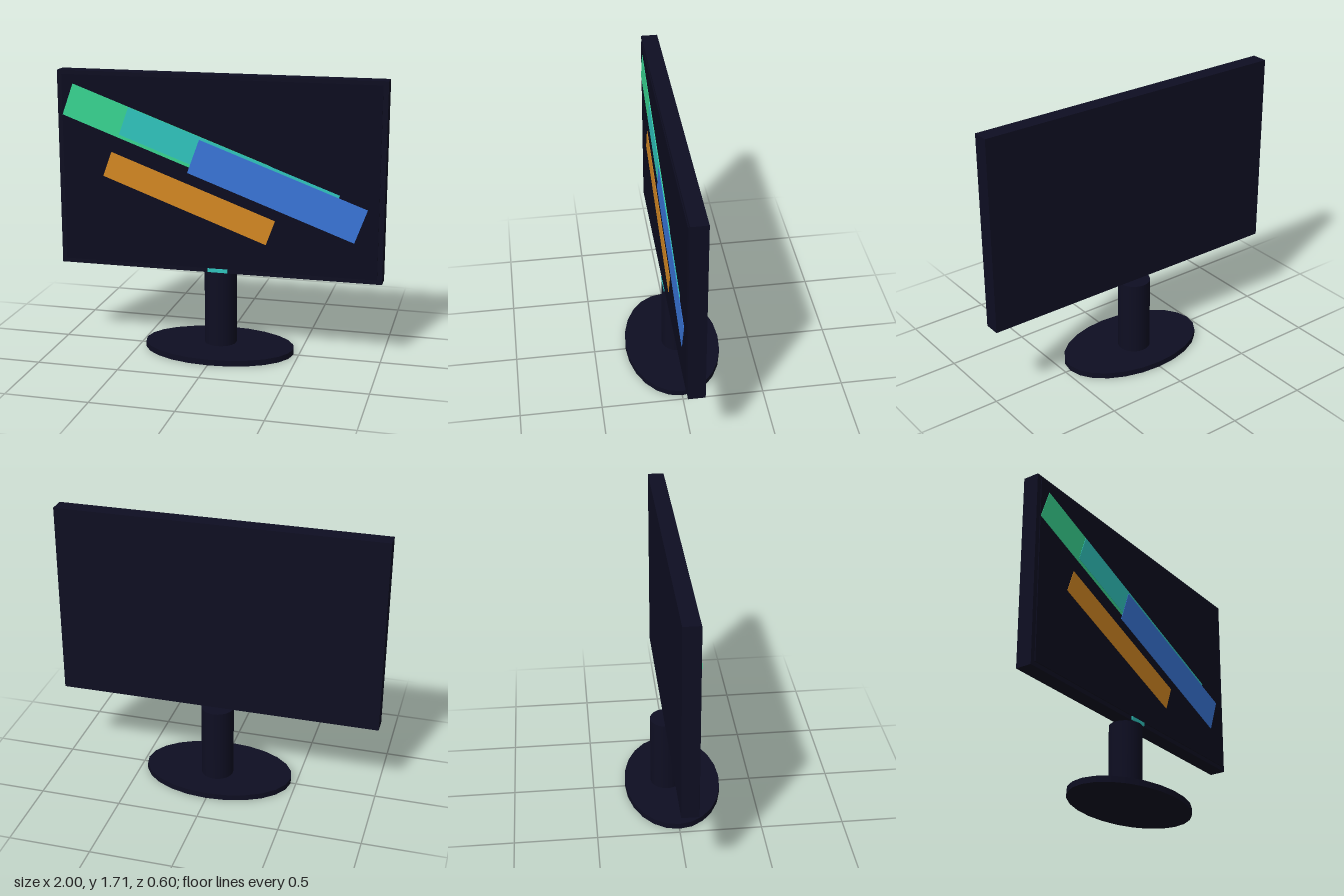
import * as THREE from 'three';

const material = (name, color) => {
  const m = new THREE.MeshStandardMaterial({ color });
  m.name = name;
  return m;
};

export function createModel() {
  const group = new THREE.Group();
  group.name = 'monitor';

  const casing = material('casing navy', 0x0e0e22);
  const glass = material('screen navy', 0x0c0c1f);
  const green = material('green', 0x38d692);
  const teal = material('teal', 0x30c5be);
  const blue = material('blue', 0x3975d8);
  const orange = material('orange', 0xd48823);

  const add = (name, geometry, mat, x, y, z) => {
    const mesh = new THREE.Mesh(geometry, mat);
    mesh.name = name;
    mesh.position.set(x, y, z);
    group.add(mesh);
    return mesh;
  };

  // Oval foot and round neck, set slightly behind the panel
  const foot = add('foot', new THREE.CylinderGeometry(1, 1, 0.036, 24), casing, 0, 0.018, 0);
  foot.scale.set(0.467, 1, 0.3);
  add('neck', new THREE.CylinderGeometry(0.1, 0.1, 0.475, 24), casing, 0, 0.2675, -0.035);

  // Panel with a thin raised screen
  add('panel', new THREE.BoxGeometry(2, 1.206, 0.1), casing, 0, 1.108, 0);
  add('screen', new THREE.BoxGeometry(1.94, 1.155, 0.008), glass, 0, 1.11, 0.052);

  // Slanted colour bands, each layered just above the last: x, y, length, width, z
  const bands = [
    ['greenBand', green, -0.323, 1.314, 1.3, 0.202, 0.0575],
    ['tealBand', teal, 0.064, 1.183, 1.37, 0.18, 0.0595],
    ['blueBand', blue, 0.36, 1.0375, 1.08, 0.218, 0.0615],
    ['orangeBand', orange, -0.18, 0.964, 1.08, 0.16, 0.0615],
  ];
  for (const [name, mat, x, y, length, width, z] of bands) {
    add(name, new THREE.BoxGeometry(length, width, 0.003), mat, x, y, z).rotation.z = -Math.PI / 9;
  }

  // Status light on the lower bezel
  add('statusLight', new THREE.BoxGeometry(0.125, 0.022, 0.009), teal, 0, 0.519, 0.0535);

  return group;
}
